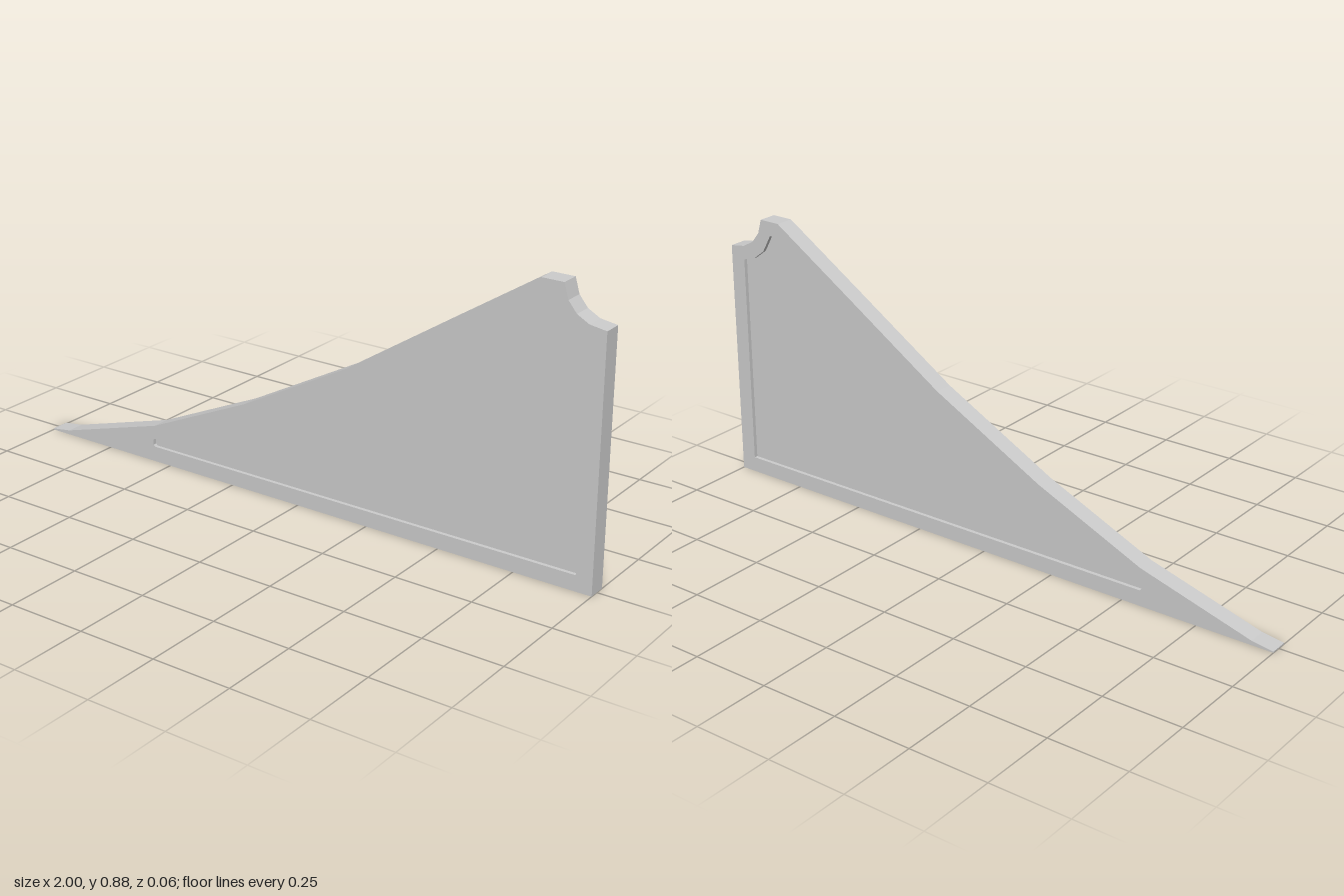
import * as THREE from 'three';

const THICKNESS = 0.06;
const RECESS = 0.012;

const toPoints = (list) => list.map(([x, y]) => new THREE.Vector2(x, y));

// Flat slab of the given depth, centred on z = 0
function slab(name, shape, depth) {
  const geometry = new THREE.ExtrudeGeometry(shape, { depth, bevelEnabled: false });
  geometry.translate(0, 0, -depth / 2);
  const material = new THREE.MeshStandardMaterial({ color: 0xcccccc, flatShading: true });
  const mesh = new THREE.Mesh(geometry, material);
  mesh.name = name;
  return mesh;
}

export function createModel() {
  // Outer silhouette: flat base, upright end, notched top corner, curved slope
  const outer = toPoints([
    [-1, 0], [1, 0], [1, 0.774],
    [0.947, 0.782], [0.909, 0.803], [0.882, 0.836], [0.868, 0.883],
    [0.797, 0.883], [0.52, 0.705], [0.175, 0.482], [-0.2, 0.282],
    [-0.56, 0.122], [-0.93, 0.014], [-1, 0.004],
  ]);

  // Inner edge of the raised border
  const inner = toPoints([
    [-0.56, 0.05], [0.948, 0.05], [0.948, 0.737],
    [0.904, 0.75], [0.864, 0.78], [0.832, 0.837],
    [0.79, 0.837], [0.52, 0.661], [0.19, 0.448], [-0.2, 0.236],
    [-0.566, 0.074], [-0.566, 0.056],
  ]);

  // Raised border, open in the middle
  const borderShape = new THREE.Shape(outer);
  borderShape.holes.push(new THREE.Path(inner));

  const group = new THREE.Group();
  group.name = 'slopedSidePanel';
  group.add(
    slab('border', borderShape, THICKNESS),
    // Panel set back from both faces
    slab('recessedPanel', new THREE.Shape(inner), THICKNESS - 2 * RECESS),
  );
  return group;
}
